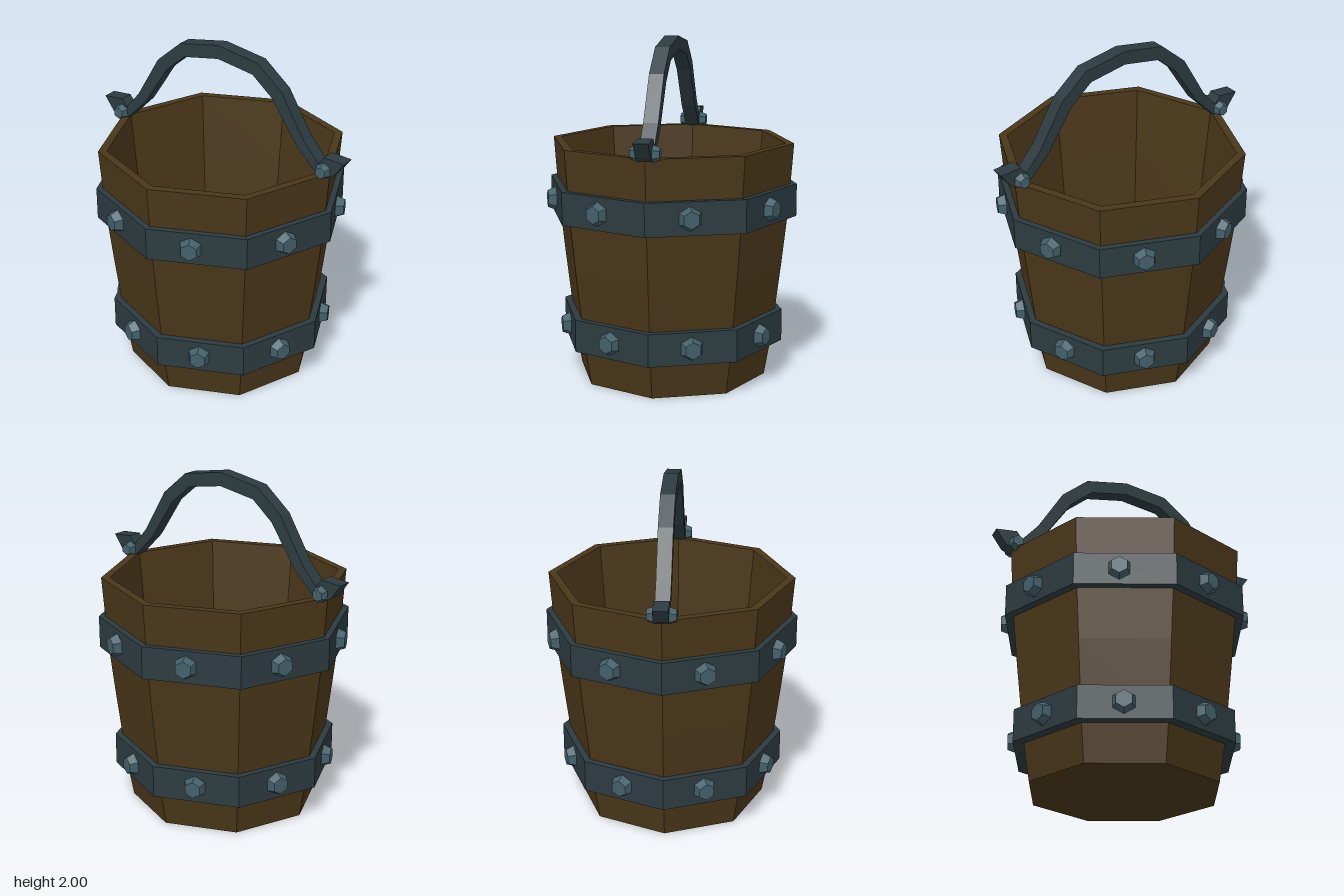
import * as THREE from 'three';

const mat = (color) => new THREE.MeshStandardMaterial({ color, flatShading: true });
const wood = mat(0x4a3719), floorWood = mat(0x402a1a), iron = mat(0x2c3b40), rivetIron = mat(0x42606a);
const SIDES = 8;

function add(parent, name, geometry, material) {
  const mesh = new THREE.Mesh(geometry, material);
  mesh.name = name;
  parent.add(mesh);
  return mesh;
}

// Eight-sided solid turned from [radius, height] pairs
const turned = (pairs) => new THREE.LatheGeometry(pairs.map(([r, y]) => new THREE.Vector2(r, y)), SIDES);

// Six-sided tapered stud pointing along +z, standing on its own origin
function studGeometry(base, top, height) {
  return new THREE.CylinderGeometry(top, base, height, 6)
    .translate(0, height / 2, 0)
    .rotateX(Math.PI / 2)
    .rotateZ(Math.PI);
}

// Flat iron hoop with one rivet on every side
function hoop(name, y0, y1, radius, innerRadius, shift) {
  const group = new THREE.Group();
  group.name = name;
  add(group, 'hoopBand', turned([
    [innerRadius, y0], [radius, y0], [radius, y1], [innerRadius, y1],
  ]), iron);
  const apothem = radius * Math.cos(Math.PI / SIDES);
  const geometry = studGeometry(0.072, 0.05, 0.055);
  for (let i = 0; i < SIDES; i++) {
    const pivot = new THREE.Group();
    pivot.name = 'rivetPivot';
    pivot.rotation.y = ((i + 0.5) / SIDES) * Math.PI * 2;
    const rivet = add(pivot, 'rivet', geometry, rivetIron);
    rivet.position.set(shift, (y0 + y1) / 2, apothem - 0.008);
    group.add(pivot);
  }
  return group;
}

// Arched handle with an outward hook at both ends, mirrored from its +x half
function handleGeometry() {
  const outer = [[0, 2], [0.26, 1.955], [0.42, 1.82], [0.57, 1.57], [0.665, 1.46], [0.70, 1.505],
    [0.825, 1.495], [0.765, 1.41], [0.72, 1.385]];
  const inner = [[0.66, 1.39], [0.52, 1.53], [0.36, 1.77], [0.23, 1.88], [0, 1.92]];
  const half = [...outer, ...inner];
  const mirrored = half.slice(1, -1).reverse().map(([x, y]) => [-x, y]);
  const shape = new THREE.Shape([...half, ...mirrored].map(([x, y]) => new THREE.Vector2(x, y)));
  return new THREE.ExtrudeGeometry(shape, { depth: 0.084, bevelEnabled: false }).translate(0, 0, -0.042);
}

export function createModel() {
  const bucket = new THREE.Group();
  bucket.name = 'bucket';

  // Staves: underside, bulging outside, rim and inside wall
  add(bucket, 'staves', turned([
    [0, 0], [0.562, 0], [0.60, 0.22], [0.655, 0.68], [0.69, 1.0], [0.718, 1.395],
    [0.668, 1.395], [0.63, 1.0], [0.60, 0.68], [0.55, 0.12],
  ]), wood);
  add(bucket, 'floor', new THREE.CylinderGeometry(0.556, 0.54, 0.1, SIDES).translate(0, 0.07, 0), floorWood);

  // Hoops
  bucket.add(hoop('lowerHoop', 0.215, 0.405, 0.663, 0.59, -0.006));
  bucket.add(hoop('upperHoop', 0.97, 1.16, 0.738, 0.67, -0.032));

  // Handle and the studs clamping its ends
  add(bucket, 'handle', handleGeometry(), iron);
  const clamp = studGeometry(0.05, 0.034, 0.045);
  for (const side of [-1, 1]) {
    for (const face of [-1, 1]) {
      const stud = add(bucket, 'handleStud', clamp, rivetIron);
      stud.position.set(side * 0.70, 1.425, face * 0.036);
      stud.rotation.y = face > 0 ? 0 : Math.PI;
    }
  }
  return bucket;
}
